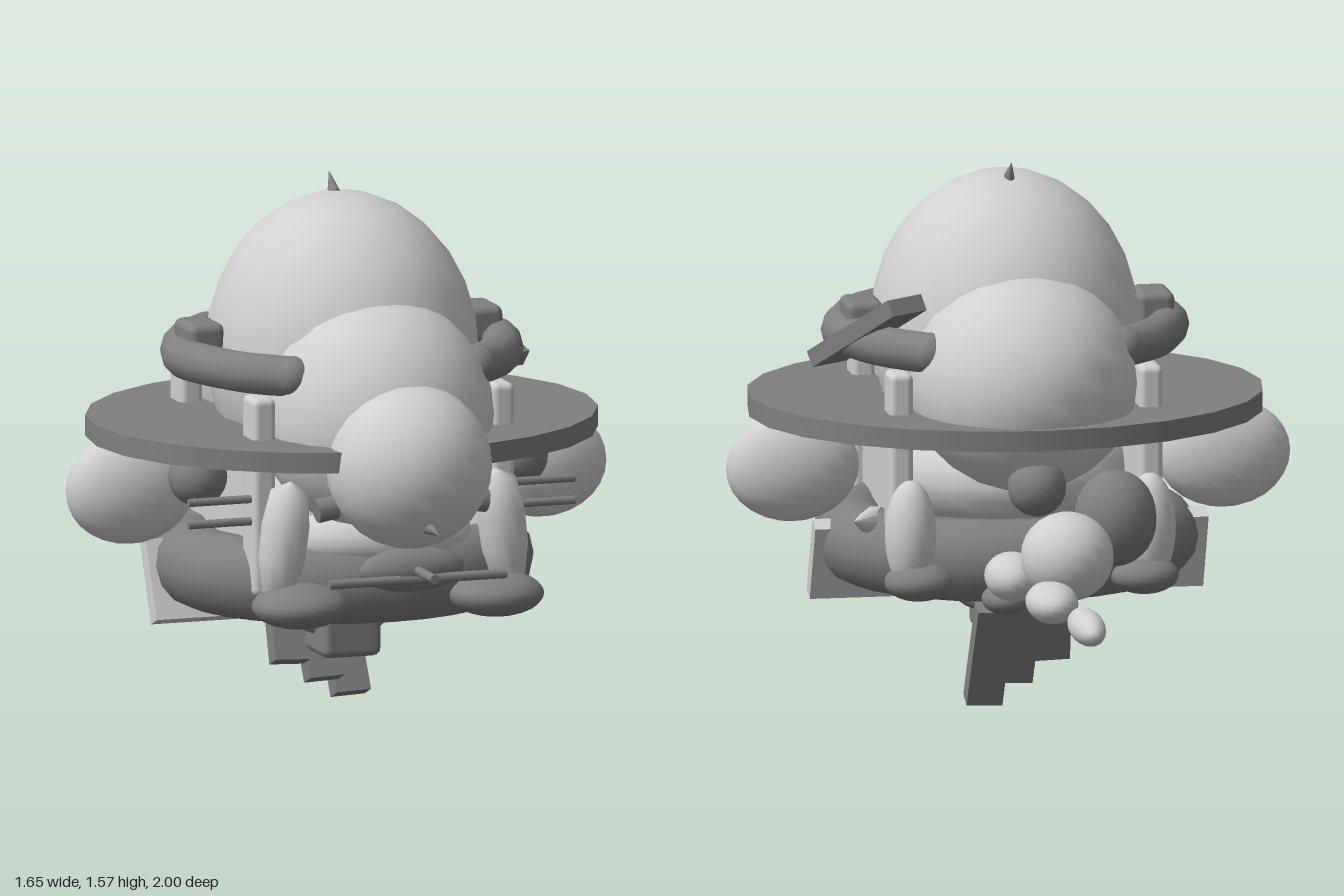
import * as THREE from 'three';
import { RoundedBoxGeometry } from 'three/addons/geometries/RoundedBoxGeometry.js';

export function createModel() {
  const model = new THREE.Group();
  const light = new THREE.MeshStandardMaterial({ color: 0xd0d0d0 });
  light.name = 'lightGrey';
  const dark = new THREE.MeshStandardMaterial({ color: 0x808080 });
  dark.name = 'darkGrey';

  const add = (name, geo, mat, pos = [0, 0, 0], rot = [0, 0, 0]) => {
    const m = new THREE.Mesh(geo, mat);
    m.name = name;
    m.position.set(...pos);
    m.rotation.set(...rot);
    model.add(m);
    return m;
  };
  const ball = (name, mat, pos, radii, rot) => {
    const m = add(name, new THREE.SphereGeometry(1, 20, 14), mat, pos, rot);
    m.scale.set(...radii);
    return m;
  };
  const box = (name, mat, pos, size, rot) => add(name, new THREE.BoxGeometry(...size), mat, pos, rot);
  const rounded = (name, mat, pos, size, r) =>
    add(name, new RoundedBoxGeometry(...size, 2, r), mat, pos);
  const lathe = (name, mat, profile, sides, pos, rot) =>
    add(name, new THREE.LatheGeometry(profile.map(p => new THREE.Vector2(...p)), sides), mat, pos, rot);
  // cylinder or cone running from one point to another
  const rod = (name, mat, a, b, r0, r1 = r0) => {
    const from = new THREE.Vector3(...a), to = new THREE.Vector3(...b);
    const dir = to.clone().sub(from);
    const m = add(name, new THREE.CylinderGeometry(r1, r0, dir.length(), 10), mat);
    m.position.copy(from).add(to).multiplyScalar(0.5);
    m.quaternion.setFromUnitVectors(new THREE.Vector3(0, 1, 0), dir.normalize());
    return m;
  };

  // Body masses and head
  ball('bodyDome', light, [0, 1.07, 0.17], [0.39, 0.46, 0.43]);
  ball('frontBody', light, [0, 0.93, 0.46], [0.34, 0.35, 0.35]);
  ball('rearBody', light, [0, 0.97, -0.13], [0.33, 0.32, 0.355]);
  ball('head', light, [0, 0.83, 0.745], [0.24, 0.24, 0.24]);
  rod('nose', dark, [0, 0.68, 0.9], [0, 0.67, 1.0], 0.025, 0.001);
  rod('topSpike', dark, [0, 1.51, 0.1], [0, 1.57, 0.06], 0.035, 0.001).scale.x = 0.5;
  ball('belly', light, [0, 0.66, 0.2], [0.36, 0.2, 0.38]);
  ball('chest', light, [0, 0.58, 0.45], [0.29, 0.12, 0.2]);

  // Wide oval disc
  add('disc', new THREE.CylinderGeometry(1, 1, 0.06, 24), dark, [0, 0.86, 0.168])
    .scale.set(0.748, 1, 0.665);

  // Lower ring
  const ring = add('lowerRing', new THREE.TorusGeometry(0.44, 0.12, 14, 28), dark, [0, 0.46, 0.17], [Math.PI / 2, 0, 0]);
  ring.scale.set(1, 0.9, 1);

  // Parts repeated on both sides
  for (const s of [1, -1]) {
    const arc = new THREE.CatmullRomCurve3([
      [0.28, 0.54], [0.39, 0.42], [0.455, 0.27], [0.475, 0.17], [0.455, 0.07], [0.39, -0.08], [0.28, -0.2],
    ].map(([x, z]) => new THREE.Vector3(s * x, 1.07, z)));
    add('sideHandle', new THREE.TubeGeometry(arc, 24, 0.06, 12), dark);
    for (const z of [0.54, -0.2]) ball('handleEnd', dark, [s * 0.28, 1.07, z], [0.06, 0.06, 0.06]);
    rounded('handleClip', dark, [s * 0.425, 1.12, 0.14], [0.11, 0.11, 0.16], 0.025);
    for (const z of [0.485, -0.14]) {
      rounded('post', light, [s * 0.365, 0.72, z], [0.07, 0.58, 0.11], 0.02);
    }
    box('sidePanel', light, [s * 0.35, 0.68, 0.17], [0.04, 0.36, 0.6]);
    ball('sidePod', light, [s * 0.63, 0.69, 0.12], [0.195, 0.16, 0.1]);
    ball('sideKnob', dark, [s * 0.49, 0.75, 0.31], [0.085, 0.085, 0.085]);
    for (const y of [0.65, 0.715]) {
      rod('sideRod', dark, [s * 0.33, y, 0.51], [s * 0.59, y, 0.51], 0.012);
    }
    // Legs and feet
    lathe('frontLeg', light, [[0, -0.17], [0.045, -0.16], [0.068, -0.05], [0.07, 0.05], [0.055, 0.15], [0, 0.18]],
      14, [s * 0.335, 0.6, 0.61], [0, 0, s * 0.12]);
    ball('frontFoot', dark, [s * 0.3, 0.42, 0.65], [0.14, 0.065, 0.13]);
    ball('rearLeg', light, [s * 0.35, 0.55, -0.25], [0.075, 0.16, 0.075]);
    ball('rearFoot', dark, [s * 0.33, 0.415, -0.27], [0.1, 0.055, 0.09]);
    rod('faceStud', dark, [s * 0.2, 0.71, 0.68], [s * 0.26, 0.7, 0.68], 0.035);
  }

  // Front bar assembly
  rod('crossBar', dark, [-0.27, 0.51, 0.82], [0.27, 0.51, 0.82], 0.014);
  rod('forwardRod', dark, [0, 0.535, 0.7], [0, 0.535, 0.97], 0.014);
  ball('barMount', dark, [0, 0.53, 0.77], [0.16, 0.065, 0.06]);

  // Tilted plank on the left
  const along = new THREE.Vector3(0.18, -0.21, 0.34).normalize();
  const up = new THREE.Vector3().crossVectors(along, new THREE.Vector3(1, -0.25, -0.1)).normalize();
  const across = new THREE.Vector3().crossVectors(up, along);
  box('plank', dark, [0.435, 1.105, -0.005], [0.125, 0.05, 0.43])
    .quaternion.setFromRotationMatrix(new THREE.Matrix4().makeBasis(across, up, along));

  // Slanted plate and spike
  box('slantedPlate', light, [0, 0.415, 0.125], [1.15, 0.24, 0.055], [-0.4, 0, 0]);
  rod('sideSpike', light, [0.4, 0.53, 0.05], [0.52, 0.6, -0.28], 0.05, 0.001);

  // Under parts
  rounded('underBlock', dark, [0, 0.265, 0.18], [0.18, 0.17, 0.18], 0.025);
  rod('blockNeck', dark, [0, 0.32, 0.18], [0, 0.56, 0.18], 0.07);
  add('underLoop', new THREE.TorusGeometry(0.21, 0.018, 8, 24), dark, [0, 0.45, 0.18]);
  [[-0.1, 0.12, 0.02], [0, 0.06, 0], [0.095, 0.005, -0.04]].forEach(([x, y, z]) => {
    box('lowerPlank', dark, [x, y + 0.16, z - 0.06], [0.105, 0.32, 0.06], [-0.4, 0, (x < 0 ? -1 : 1) * 0.04]);
  });

  // Tail chain and rear balls
  ball('rearKnob', dark, [0, 0.7, -0.36], [0.085, 0.085, 0.085]);
  ball('rearPod', dark, [-0.24, 0.59, -0.3], [0.12, 0.14, 0.12]);
  ball('tailRoot', dark, [0.1, 0.385, -0.41], [0.07, 0.045, 0.08]);
  ball('tailBall', light, [-0.055, 0.53, -0.55], [0.135, 0.13, 0.135]);
  ball('tailFirst', light, [0.09, 0.46, -0.46], [0.08, 0.07, 0.11]);
  ball('tailSecond', light, [0.01, 0.42, -0.665], [0.075, 0.06, 0.12]);
  ball('tailTip', light, [-0.06, 0.38, -0.845], [0.05, 0.05, 0.155]);
  return model;
}
